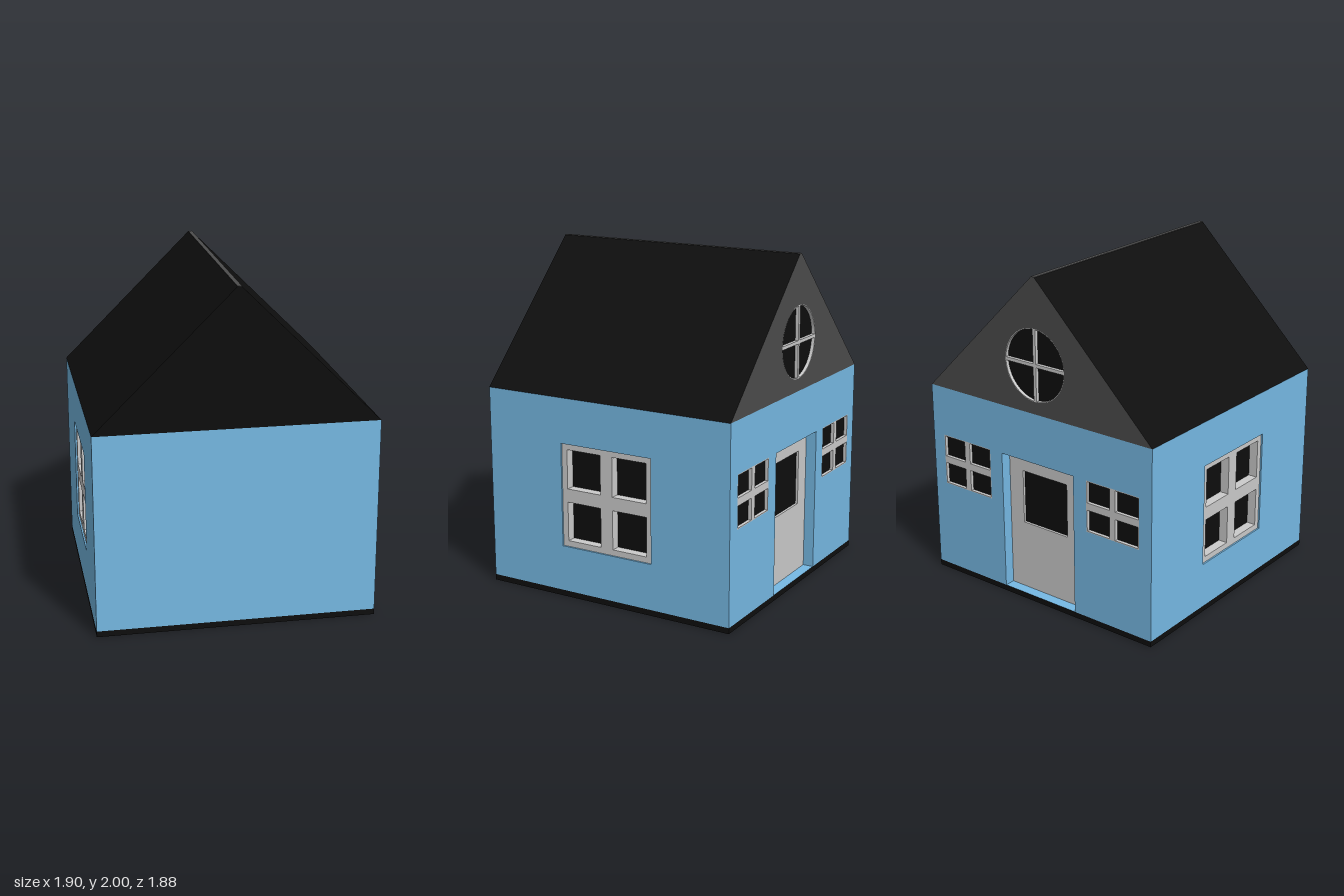
import * as THREE from 'three';

const mat = (color) => new THREE.MeshStandardMaterial({ color });
const blue = mat(0x76b9e4), black = mat(0x0e0e0e), slate = mat(0x4c4c4c), grey = mat(0xcccccc);

const W = 1.63, D = 1.6, BASE = 0.035, EAVE = 1.2, T = 0.08;

function mesh(name, geometry, material) {
  const m = new THREE.Mesh(geometry, material);
  m.name = name;
  return m;
}

const poly = (pts, Kind = THREE.Shape) => new Kind(pts.map(([x, y]) => new THREE.Vector2(x, y)));
const rect = (x0, x1, y0, y1, Kind) => poly([[x0, y0], [x1, y0], [x1, y1], [x0, y1]], Kind);
const hole = (x0, x1, y0, y1) => rect(x0, x1, y0, y1, THREE.Path);

// Extrude a shape so that its outer face lies at z = front
function panel(name, shape, thickness, front, material) {
  const g = new THREE.ExtrudeGeometry(shape, { depth: thickness, bevelEnabled: false, curveSegments: 32 });
  return mesh(name, g.translate(0, 0, front - thickness), material);
}

// Four-pane window: grey frame with cross bars and dark glass behind
function makeWindow(name, x, y, w, h, rim, barX, barY, front, depth) {
  const g = new THREE.Group();
  g.name = name;
  const s = rect(-w / 2, w / 2, -h / 2, h / 2);
  for (const sx of [-1, 1]) for (const sy of [-1, 1]) {
    const xs = [sx * barX / 2, sx * (w / 2 - rim)].sort((a, b) => a - b);
    const ys = [sy * barY / 2, sy * (h / 2 - rim)].sort((a, b) => a - b);
    s.holes.push(hole(...xs, ...ys));
  }
  g.add(panel('windowFrame', s, depth, front, grey));
  g.add(panel('windowGlass', rect(-w / 2, w / 2, -h / 2, h / 2), 0.008, front - depth, black));
  g.position.set(x, y, 0);
  return g;
}

function sideWall(name) {
  const g = new THREE.Group();
  g.name = name;
  const s = rect(-D / 2 + T, D / 2 - T, BASE, EAVE);
  s.holes.push(hole(-0.3, 0.3, 0.31, 0.93));
  g.add(panel('sideWallPanel', s, T, 0, blue));
  g.add(makeWindow('sideWindow', 0, 0.62, 0.6, 0.62, 0.035, 0.08, 0.08, -0.01, 0.055));
  return g;
}

function doorWall() {
  const g = new THREE.Group();
  g.name = 'doorWall';
  const d = 0.267, top = 0.895;
  const s = poly([[-W / 2, BASE], [-d, BASE], [-d, top], [d, top], [d, BASE],
    [W / 2, BASE], [W / 2, EAVE], [-W / 2, EAVE]]);
  for (const side of [-1, 1]) {
    const x = side * 0.545;
    s.holes.push(hole(x - 0.185, x + 0.185, 0.58, top));
    g.add(makeWindow('smallWindow', x, 0.7375, 0.37, 0.315, 0.006, 0.04, 0.045, 0, 0.02));
  }
  g.add(panel('doorWallPanel', s, T, 0, blue));

  // Recessed door with a single pane
  const door = rect(-d, d, BASE, top);
  door.holes.push(hole(-0.165, 0.165, 0.46, 0.79));
  g.add(panel('door', door, 0.015, -0.065, grey));
  g.add(panel('doorGlass', rect(-d, d, BASE, top), 0.008, -0.08, black));
  return g;
}

function roof() {
  const g = new THREE.Group();
  g.name = 'roof';
  const r = 0.0125, top = 1.997, cy = 1.49, R = 0.215, gableT = 0.02;
  const outline = () => poly([[-W / 2, EAVE], [W / 2, EAVE], [r, top], [-r, top]]);
  g.add(panel('roofBody', outline(), D - gableT, D / 2, black));
  g.add(mesh('ridge', new THREE.BoxGeometry(r * 2, 0.003, D).translate(0, top + 0.0015, 0), slate));

  // Gable above the door with a round window
  const gable = new THREE.Group();
  gable.name = 'gable';
  const face = outline();
  face.holes.push(new THREE.Path().absarc(0, cy, R, 0, Math.PI * 2, true));
  gable.add(panel('gablePanel', face, gableT, 0, [slate, black]));
  const ring = new THREE.Shape().absarc(0, cy, R, 0, Math.PI * 2, false);
  ring.holes.push(new THREE.Path().absarc(0, cy, R - 0.004, 0, Math.PI * 2, true));
  gable.add(panel('roundWindowRim', ring, gableT, 0, grey));
  const b = 0.01, L = R - 0.003;
  gable.add(panel('roundWindowBars', poly([[-b, -L], [b, -L], [b, -b], [L, -b], [L, b], [b, b],
    [b, L], [-b, L], [-b, b], [-L, b], [-L, -b], [-b, -b]].map(([x, y]) => [x, y + cy])), gableT, 0, grey));
  gable.rotation.y = Math.PI;
  gable.position.z = -D / 2;
  g.add(gable);
  return g;
}

export function createModel() {
  const model = new THREE.Group();
  model.name = 'house';
  const house = new THREE.Group();
  house.name = 'houseBody';

  // Base: black plinth edge, blue floor above and below
  house.add(mesh('base', new THREE.BoxGeometry(W, BASE, D).translate(0, BASE / 2, 0),
    [black, black, blue, blue, black, black]));

  house.add(panel('plainWall', rect(-W / 2, W / 2, BASE, EAVE), T, D / 2, blue));
  const back = doorWall();
  back.rotation.y = Math.PI;
  back.position.z = -D / 2;
  house.add(back);

  for (const [name, side] of [['leftWall', 1], ['rightWall', -1]]) {
    const wall = sideWall(name);
    wall.rotation.y = side * Math.PI / 2;
    wall.position.x = side * W / 2;
    house.add(wall);
  }
  house.add(roof());

  // The house stands slightly turned
  house.rotation.y = -0.188;
  model.add(house);
  return model;
}
